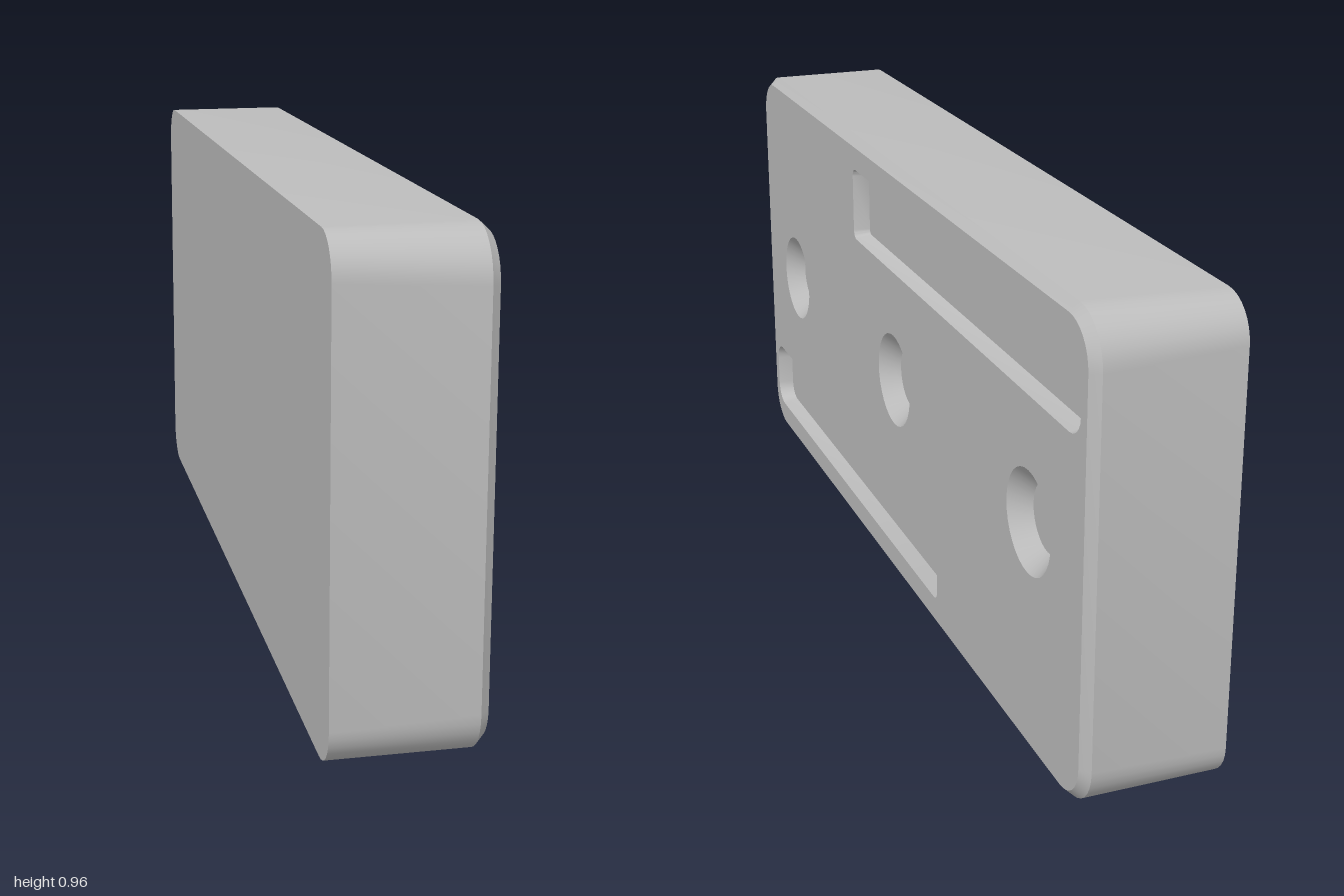
import * as THREE from 'three';
import { toCreasedNormals } from 'three/addons/utils/BufferGeometryUtils.js';

const FACE = 0.143;

// Rounded rectangle outline, counter-clockwise; radii: [right end, left end]
function outline(u0, u1, v0, v1, rRight, rLeft, steps = 8) {
  const pts = [];
  const corners = [
    [u1 - rRight, v0 + rRight, rRight, -0.5], [u1 - rRight, v1 - rRight, rRight, 0],
    [u0 + rLeft, v1 - rLeft, rLeft, 0.5], [u0 + rLeft, v0 + rLeft, rLeft, 1],
  ];
  for (const [cu, cv, r, start] of corners) {
    for (let i = 0; i <= steps; i++) {
      const a = (start + 0.5 * i / steps) * Math.PI;
      pts.push(new THREE.Vector2(cu + r * Math.cos(a), cv + r * Math.sin(a)));
    }
  }
  return pts;
}

function circle(cu, r, n = 32) {
  return Array.from({ length: n }, (_, i) => {
    const a = i / n * Math.PI * 2;
    return new THREE.Vector2(cu + r * Math.cos(a), r * Math.sin(a));
  });
}

// Walls joining successive rings of [points, depth]
function loft(rings) {
  const pos = [];
  for (let k = 0; k + 1 < rings.length; k++) {
    const [p, w] = rings[k], [q, x] = rings[k + 1];
    for (let i = 0; i < p.length; i++) {
      const j = (i + 1) % p.length;
      const a = [p[i].x, p[i].y, w], b = [p[j].x, p[j].y, w];
      const c = [q[j].x, q[j].y, x], d = [q[i].x, q[i].y, x];
      pos.push(...a, ...b, ...c, ...a, ...c, ...d);
    }
  }
  const g = new THREE.BufferGeometry();
  g.setAttribute('position', new THREE.Float32BufferAttribute(pos, 3));
  return toCreasedNormals(g, 0.5);
}

function plate(points, w, holes = []) {
  const shape = new THREE.Shape(points);
  shape.holes = holes.map((h) => new THREE.Path(h));
  return new THREE.ShapeGeometry(shape).translate(0, 0, w);
}

export function createModel() {
  const grey = new THREE.MeshStandardMaterial({ color: 0xbcbcbc });
  grey.name = 'grey';
  const block = new THREE.Group();
  block.name = 'block';
  const add = (name, geometry) => {
    const mesh = new THREE.Mesh(geometry, grey);
    mesh.name = name;
    block.add(mesh);
  };

  // Body with a slight draft and a chamfered face edge
  const body = (inset, r) =>
    outline(-0.996 + inset, 0.996 - inset, -0.471 + inset, 0.471 - inset, r, r);
  const back = body(0.003, 0.08), rim = body(0, 0.095), face = body(0.017, 0.08);
  add('sides', loft([[back, -FACE], [rim, 0.125], [face, FACE]]));
  add('back', plate(back, -FACE).rotateY(Math.PI).translate(0, 0, -2 * FACE + FACE * 2));

  const openings = [];

  // Two long recesses, one a half turn of the other
  for (const [name, turn] of [['upperSlot', 1], ['lowerSlot', -1]]) {
    const slot = (inset) => outline(-0.26 + inset, 0.955 - inset, 0.245 + inset, 0.404 - inset,
      0.045 - inset, 0.018 - inset, 5).map((p) => p.multiplyScalar(turn));
    const top = slot(0), floor = slot(0.007);
    openings.push(top);
    add(name + 'Wall', loft([[top, FACE], [floor, FACE - 0.035]]));
    add(name + 'Floor', plate(floor, FACE - 0.035));
  }

  // Three countersunk holes
  for (const u of [-0.74, 0, 0.74]) {
    const top = circle(u, 0.102), floor = circle(u, 0.068);
    openings.push(top);
    add('countersink', loft([[top, FACE], [floor, FACE - 0.04]]));
    add('countersinkFloor', plate(floor, FACE - 0.04));
  }
  add('face', plate(face, FACE, openings));

  // The back plate is turned to look away from the face
  const backMesh = block.children.find((m) => m.name === 'back');
  backMesh.geometry = plate(back, FACE).rotateY(Math.PI);

  // Slight tilt, then the face is turned to the model's left
  block.rotation.z = 0.008;
  const turned = new THREE.Group();
  turned.name = 'turnedBlock';
  turned.rotation.y = Math.PI / 2;
  turned.position.y = 0.4785;
  turned.add(block);
  const model = new THREE.Group();
  model.name = 'mountingBlock';
  model.add(turned);
  return model;
}
